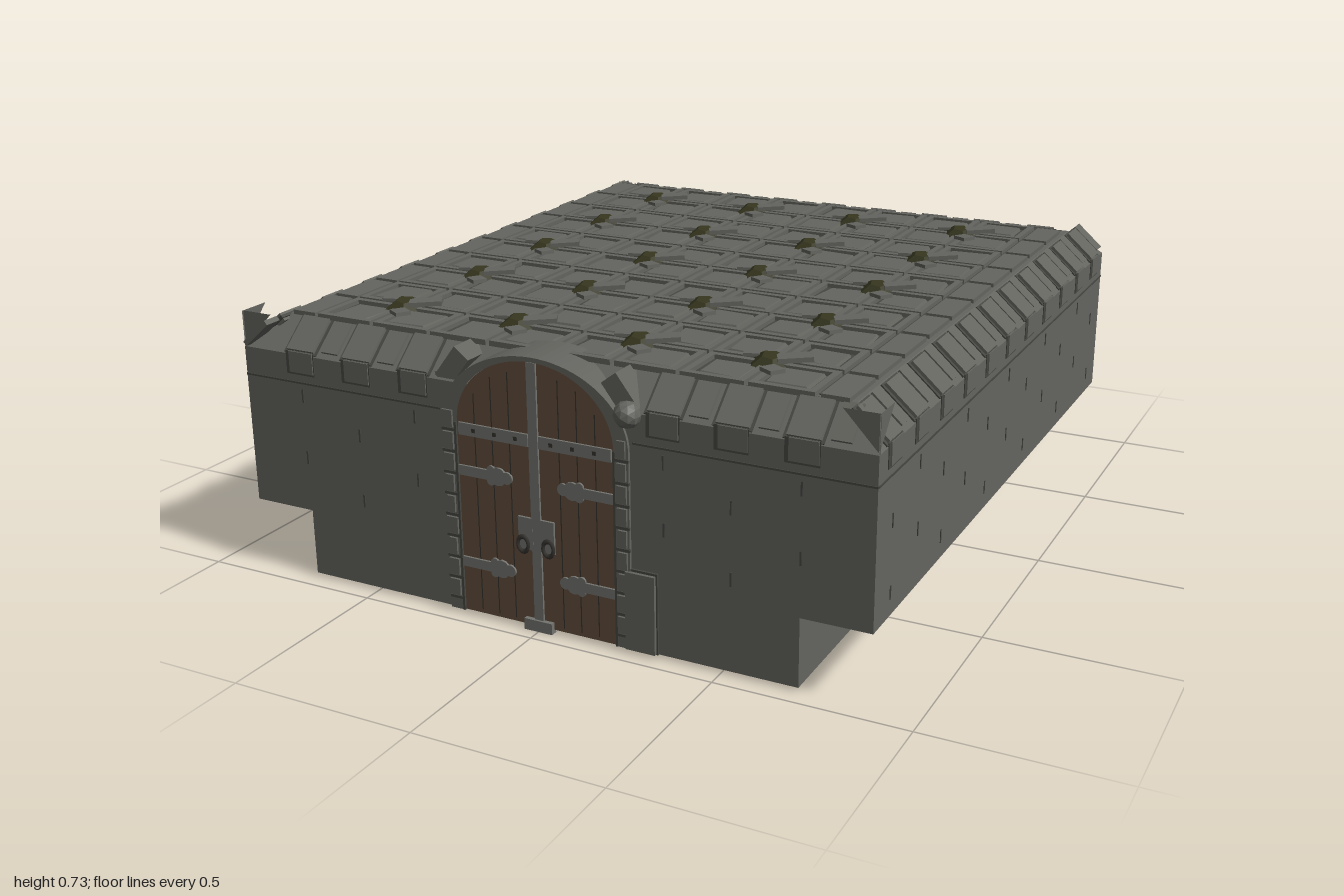
import * as THREE from 'three';

const mat = (name, color, extra = {}) => {
  const m = new THREE.MeshStandardMaterial({ color, ...extra });
  m.name = name;
  return m;
};

export function createModel() {
  const root = new THREE.Group();
  root.name = 'stoneRoom';
  const stone = mat('stone', 0x64645f, { flatShading: true });
  const joint = mat('darkJoint', 0x464642, { flatShading: true });
  const wood = mat('wood', 0x634e3c);
  const metal = mat('iron', 0x73736f);
  const dark = mat('darkIron', 0x35332f);
  const moss = mat('mossyShard', 0x35351f, { flatShading: true, side: THREE.DoubleSide });
  const fins = mat('thinStone', 0x64645f, { flatShading: true, side: THREE.DoubleSide });

  let seed = 7;
  const rnd = (a, b) => {
    seed = (seed * 16807) % 2147483647;
    return a + (b - a) * (seed / 2147483647);
  };
  const add = (name, geo, m, x = 0, y = 0, z = 0, parent = root) => {
    const mesh = new THREE.Mesh(geo, m);
    mesh.name = name;
    mesh.position.set(x, y, z);
    parent.add(mesh);
    return mesh;
  };
  const box = (name, w, h, d, m, x, y, z, parent) =>
    add(name, new THREE.BoxGeometry(w, h, d), m, x, y, z, parent);
  const group = (name) => {
    const g = new THREE.Group();
    g.name = name;
    root.add(g);
    return g;
  };

  // Joins rings of [x, y, z] corners (counterclockwise from above, bottom first) and caps the ends
  const loft = (rings) => {
    const p = [], n = rings[0].length;
    for (let r = 0; r < rings.length - 1; r++)
      for (let i = 0; i < n; i++) {
        const j = (i + 1) % n, [a, b] = [rings[r], rings[r + 1]];
        p.push(...a[i], ...a[j], ...b[j], ...a[i], ...b[j], ...b[i]);
      }
    const lo = rings[0], hi = rings[rings.length - 1];
    for (let i = 1; i < n - 1; i++)
      p.push(...hi[0], ...hi[i], ...hi[i + 1], ...lo[0], ...lo[i + 1], ...lo[i]);
    const g = new THREE.BufferGeometry();
    g.setAttribute('position', new THREE.Float32BufferAttribute(p, 3));
    g.computeVertexNormals();
    return g;
  };
  const rect = (hx, hz, y) => [[-hx, y, hz], [hx, y, hz], [hx, y, -hz], [-hx, y, -hz]];

  // Upper body with a chamfered top
  const CZ = -0.025, HX = 0.88, HZ = 0.975;
  add('upperWalls', loft([rect(HX, HZ, 0.19), rect(HX, HZ, 0.62), rect(HX - 0.09, HZ - 0.09, 0.7)]),
    stone, 0, 0, CZ);

  // Lower storey, notched at the back
  const plan = new THREE.Shape([[-0.7, -0.95], [0.7, -0.95], [0.7, 0.82], [0.34, 0.82], [0.3, 0.62],
    [0.12, 0.55], [-0.12, 0.55], [-0.3, 0.5], [-0.38, 0.55], [-0.38, 0.82], [-0.7, 0.82]]
    .map(([x, y]) => new THREE.Vector2(x, y)));
  const lower = new THREE.ExtrudeGeometry(plan, { depth: 0.185, bevelEnabled: false });
  lower.rotateX(-Math.PI / 2);
  add('lowerWalls', lower, stone, 0, 0.01, 0);
  for (const x of [-0.2, 0, 0.2])
    add('backColumn', new THREE.CylinderGeometry(0.065, 0.075, 0.17, 10), stone, x, 0.105, -0.58);

  // Roof paving: rimmed tiles, each carrying an irregular stone
  const roof = group('roofPaving');
  const slab = (name, x, z, half, y0, y1, jitter) => {
    const c = rect(half, half, y0).map(([a, y, b]) => [a + rnd(-jitter, jitter), y, b + rnd(-jitter, jitter)]);
    const t = c.map(([a, , b]) => [a * 0.9, y1, b * 0.9]);
    add(name, loft([c, t]), stone, x, 0, z, roof);
  };
  box('roofJoints', 1.54, 0.004, 1.75, joint, 0, 0.7, CZ, roof);
  for (let i = 0; i < 8; i++)
    for (let k = 0; k < 10; k++) {
      const x = -0.6125 + i * 0.175, z = -0.7625 + k * 0.175 - 0.02;
      // Raised rim as four bars
      for (const s of [-1, 1]) {
        box('tileRim', 0.164, 0.014, 0.017, stone, x, 0.706, z + s * 0.0735, roof);
        box('tileRim', 0.017, 0.014, 0.13, stone, x + s * 0.0735, 0.706, z, roof);
      }
      slab('tileStone', x + rnd(-0.004, 0.004), z, 0.057, 0.7, rnd(0.708, 0.713), 0.008);
    }
  for (const s of [-1, 1])
    for (let k = 0; k < 10; k++)
      box('edgePaver', 0.07, 0.012, 0.155, stone, s * 0.742, 0.705, -0.7825 + k * 0.175, roof);

  // Broken shards at the centre of each group of four tiles
  for (let i = 0; i < 4; i++)
    for (let k = 0; k < 5; k++) {
      const x = -0.525 + i * 0.35, z = -0.675 + k * 0.35;
      const shard = add('mossyShard', new THREE.CylinderGeometry(0.028, 0.068, 0.024, 5), moss,
        x - 0.01, 0.717, z - 0.01, roof);
      shard.rotation.set(0.08, 0.5, -0.06);
      shard.scale.set(0.85, 1, 1.1);
      const chip = box('looseChip', 0.085, 0.012, 0.045, stone, x + 0.045, 0.725, z - 0.025, roof);
      chip.rotation.set(0, 0.5, 0.05);
      const chip2 = box('looseChip', 0.05, 0.01, 0.04, stone, x + 0.025, 0.718, z + 0.06, roof);
      chip2.rotation.set(0, -0.6, 0.05);
      box('looseSliver', 0.04, 0.008, 0.015, stone, x - 0.065, 0.72, z - 0.02, roof).rotation.y = 0.3;
    }

  // Cornice and wall joints on each of the four sides, local z pointing outward
  const sides = [['front', 0, HZ, HX], ['left', Math.PI / 2, HX, HZ],
    ['back', Math.PI, HZ, HX], ['right', -Math.PI / 2, HX, HZ]];
  for (const [name, angle, d, half] of sides) {
    const g = group(name + 'Cornice');
    g.position.z = CZ;
    g.rotation.y = angle;
    const front = name === 'front', n = Math.floor((half - 0.08) / 0.175);
    for (let i = -n; i <= n; i++) {
      const x = i * 0.175;
      if (front && Math.abs(x) < 0.26) continue;
      const slope = (nm, w, h, t, m, dx, dy) => {
        const b = box(nm, w, h, t, m, x + dx, 0.66 + dy, d - 0.045 - dy * 1.1, g);
        b.rotation.x = -0.844;
      };
      slope('corniceJoint', 0.1, 0.114, 0.008, joint, 0, 0);
      slope('corniceBlock', 0.084, 0.104, 0.024, stone, 0.002, 0);
      slope('cornicePanel', 0.05, 0.1, 0.014, stone, 0.0875, 0.004);
      box('corbelJoint', 0.088, 0.062, 0.004, joint, x, 0.598, d, g);
      box('corbel', 0.074, 0.056, 0.01, stone, x + 0.004, 0.601, d, g);
    }
    // Thin course line and short upright joints
    const spans = front ? [[-half, -0.27], [0.27, half]] : [[-half, half]];
    for (const [a, b] of spans)
      box('courseLine', b - a, 0.005, 0.004, joint, (a + b) / 2, 0.545, d, g);
    for (let i = -n; i <= n; i++) {
      if (front && Math.abs(i) < 2) continue;
      [0.51, 0.43, 0.34, 0.25].forEach((y, r) => {
        if ((i + r) % 2 === 0) box('wallJoint', 0.005, 0.036, 0.004, joint, i * 0.175, y, d, g);
      });
    }
  }

  // Upright fins closing the two front corners
  for (const s of [-1, 1]) {
    const tri = (pts) => {
      const f = new THREE.BufferGeometry();
      f.setAttribute('position', new THREE.Float32BufferAttribute(pts.flat(), 3));
      f.computeVertexNormals();
      return f;
    };
    add('cornerFin', tri([[s * 0.79, 0.715, 0.945], [s * 0.88, 0.715, 0.945], [s * 0.88, 0.62, 0.945]]), fins);
    add('cornerFin', tri([[s * 0.879, 0.715, 0.86], [s * 0.879, 0.715, 0.95], [s * 0.879, 0.62, 0.95]]), fins);
  }

  // Arched doorway
  const arch = (C, w, h) => new C().moveTo(-w, 0.01).lineTo(-w, 0.52)
    .absellipse(0, 0.52, w, h, Math.PI, 0, true).lineTo(w, 0.01).closePath();
  const extrude = (shape, depth) =>
    new THREE.ExtrudeGeometry(shape, { depth, bevelEnabled: false, curveSegments: 20 });
  const door = group('doorway');
  const surround = arch(THREE.Shape, 0.262, 0.198);
  surround.holes.push(arch(THREE.Path, 0.222, 0.186));
  add('doorSurround', extrude(surround, 0.14), stone, 0, 0, 0.818, door);
  add('doorLeaves', extrude(arch(THREE.Shape, 0.222, 0.186), 0.13), wood, 0, 0, 0.822, door);
  const Z = 0.954;
  box('centreStrip', 0.026, 0.69, 0.008, metal, 0, 0.36, Z, door);
  box('threshold', 0.08, 0.03, 0.02, metal, 0, 0.015, Z, door);
  for (const s of [-1, 1]) {
    // Jamb stones
    for (let k = 0; k < 9; k++) {
      box('jambJoint', 0.04, 0.007, 0.006, joint, s * 0.243, 0.043 + k * 0.057, 0.957, door);
      box('jambStone', rnd(0.022, 0.034), 0.044, 0.012, stone, s * 0.244, 0.072 + k * 0.057, 0.958, door);
    }
    box('jambShade', 0.006, 0.51, 0.006, joint, s * 0.223, 0.265, 0.957, door);
    // Plank gaps
    for (const [x, top] of [[0.07, 0.67], [0.12, 0.65], [0.17, 0.6]])
      box('plankGap', 0.003, top - 0.02, 0.004, dark, s * x, top / 2 + 0.01, 0.951, door);
    box('topStrap', 0.2, 0.032, 0.008, metal, s * 0.115, 0.505, Z, door);
    for (const x of [0.05, 0.11, 0.17]) box('rivet', 0.01, 0.01, 0.006, dark, s * x, 0.505, 0.957, door);
    for (const y of [0.395, 0.147]) {
      box('hingeStrap', 0.1, 0.026, 0.008, metal, s * 0.17, y, Z, door);
      for (const [dx, dy, r] of [[0.105, 0, 0.024], [0.08, 0, 0.016], [0.125, 0.014, 0.012], [0.125, -0.014, 0.012]])
        add('hingeTip', new THREE.CylinderGeometry(r, r, 0.008, 12).rotateX(Math.PI / 2), metal,
          s * dx, y + dy, Z, door);
    }
    box('lockPlate', 0.042, 0.085, 0.009, metal, s * 0.03, 0.26, Z, door);
    const ring = add('handleRing', new THREE.TorusGeometry(0.015, 0.005, 6, 14), dark, s * 0.036, 0.232, 0.962, door);
    ring.scale.y = 1.35;
  }

  // Loose masonry beside the door
  box('propStoneJoint', 0.088, 0.214, 0.008, joint, 0.29, 0.117, 0.952);
  box('propStone', 0.08, 0.206, 0.022, stone, 0.29, 0.115, 0.954);
  add('roundStone', new THREE.IcosahedronGeometry(0.034, 1), stone, 0.265, 0.62, 0.965);
  for (const s of [-1, 1]) {
    const b = box('archShoulder', 0.05, 0.1, 0.1, stone, s * 0.235, 0.655, 0.895);
    b.rotation.z = s * 0.65;
  }
  return root;
}
